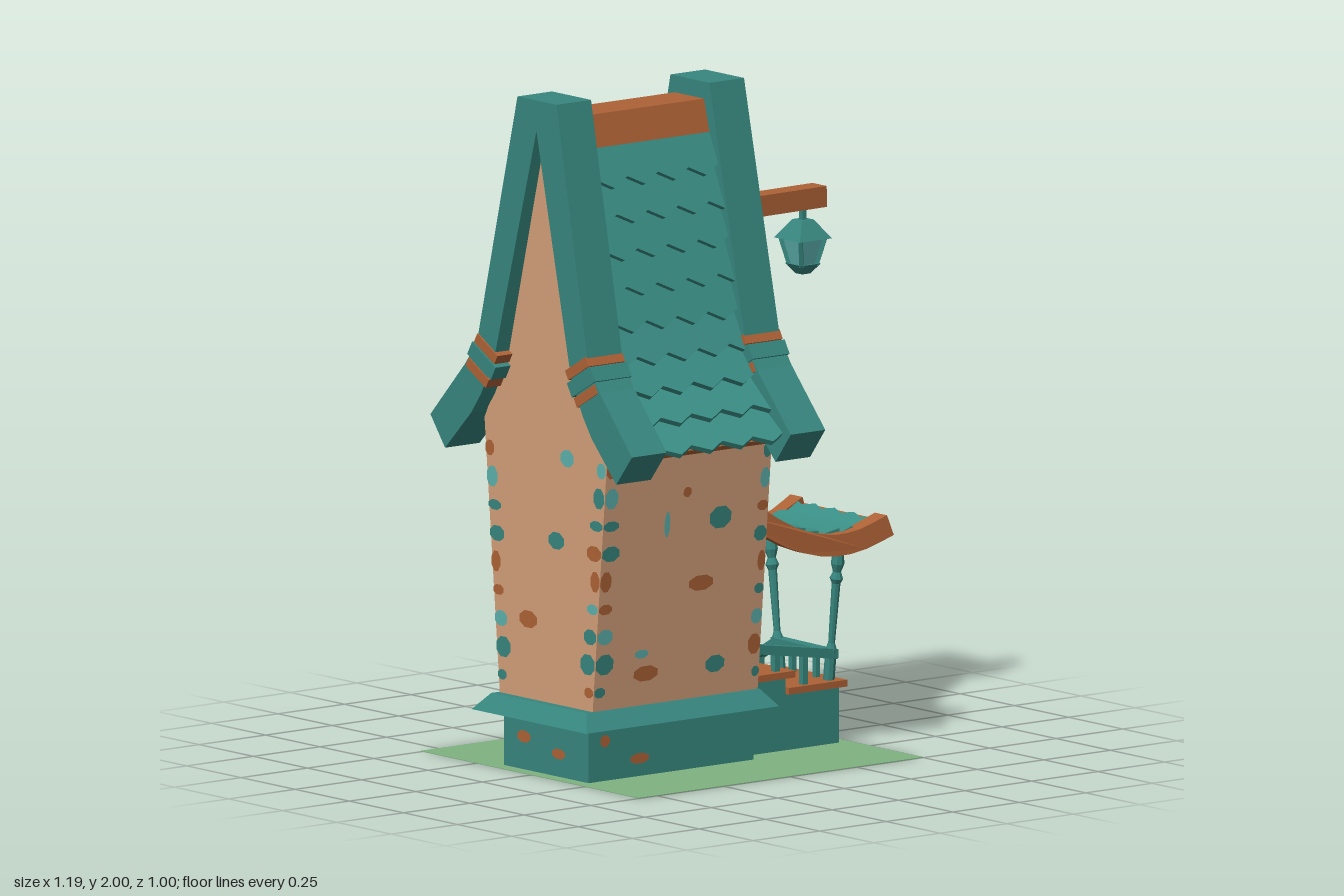
import * as THREE from 'three';

const mat = (name, color) => {
  const m = new THREE.MeshStandardMaterial({ color });
  m.name = name;
  return m;
};
const V = (x, y, z) => new THREE.Vector3(x, y, z);
const P = ([x, y]) => new THREE.Vector2(x, y);
const ZC = 0.025; // house centre line in z

export function createModel() {
  const root = new THREE.Group();
  root.name = 'cottageTower';
  const plaster = mat('plaster', 0xd3a07a), teal = mat('tealTrim', 0x37877f), tile = mat('roofTile', 0x3a8f86);
  const wood = mat('wood', 0xae6236), pale = mat('paleBlue', 0x5cb2ae), grass = mat('grass', 0x7fb380);

  const add = (name, geo, m, parent = root) => {
    const mesh = new THREE.Mesh(geo, m);
    mesh.name = name;
    parent.add(mesh);
    return mesh;
  };
  const group = (name, parent = root) => {
    const g = new THREE.Group();
    g.name = name;
    parent.add(g);
    return g;
  };
  const flat = (geo) => {
    const g = geo.index ? geo.toNonIndexed() : geo;
    g.computeVertexNormals();
    return g;
  };
  // box given by its limits
  const box = (name, x0, x1, y0, y1, z0, z1, m, parent) => add(name,
    new THREE.BoxGeometry(x1 - x0, y1 - y0, z1 - z0).translate((x0 + x1) / 2, (y0 + y1) / 2, (z0 + z1) / 2), m, parent);
  // box whose top has another size than its bottom
  const frustum = (name, w0, d0, w1, d1, y0, y1, cx, cz, m, parent) => {
    const g = new THREE.BoxGeometry(1, y1 - y0, 1), p = g.attributes.position;
    for (let i = 0; i < p.count; i++) {
      const up = p.getY(i) > 0;
      p.setX(i, p.getX(i) * (up ? w1 : w0));
      p.setZ(i, p.getZ(i) * (up ? d1 : d0));
    }
    return add(name, flat(g).translate(cx, (y0 + y1) / 2, cz), m, parent);
  };
  // square bar between two points
  const bar = (name, a, b, w, h, m, parent = root) => {
    const mesh = new THREE.Mesh(new THREE.BoxGeometry(w, h, a.distanceTo(b)), m);
    mesh.name = name;
    mesh.position.copy(a).lerp(b, 0.5);
    mesh.lookAt(b);
    parent.add(mesh);
    return mesh;
  };
  // side profile (offset from centre line, y) extruded along x
  const profileX = (pts, x0, x1, hole) => {
    const s = new THREE.Shape(pts.map(P));
    if (hole) s.holes.push(new THREE.Path(hole.map(P)));
    return new THREE.ExtrudeGeometry(s, { depth: x1 - x0, bevelEnabled: false }).rotateY(-Math.PI / 2).translate(x1, 0, ZC);
  };
  const mirrored = (half) => [...half, ...half.map(([d, y]) => [-d, y]).reverse()];
  // band of constant thickness along a curve
  const ribbon = (curve, t, depth) => {
    const top = [], low = [];
    for (let i = 0; i <= 10; i++) {
      const p = curve.getPoint(i / 10), d = curve.getTangent(i / 10);
      top.push(P([p.x - d.y * t, p.y + d.x * t]));
      low.unshift(P([p.x + d.y * t, p.y - d.x * t]));
    }
    return new THREE.ExtrudeGeometry(new THREE.Shape([...top, ...low]), { depth, bevelEnabled: false }).translate(0, 0, -depth / 2);
  };
  // overlapping rows of zigzag tiles down a curve (outward z, y)
  const tiles = (curve, rows, teeth, amp, lift, widthAt, parent) => {
    for (let i = 0; i < rows; i++) {
      const a = curve.getPointAt(i / rows), b = curve.getPointAt((i + 1) / rows), t = curve.getTangentAt((i + 1) / rows);
      b.add(P([-t.y * lift, t.x * lift]));
      const len = a.distanceTo(b), w = widthAt((i + 0.7) / rows), s = new THREE.Shape();
      s.moveTo(-w / 2, 0);
      for (let k = 0; k <= 2 * teeth; k++) s.lineTo(-w / 2 + (k * w) / (2 * teeth), -len - ((k + i) % 2 ? amp : 0));
      s.lineTo(w / 2, 0);
      const X = V(1, 0, 0), Y = V(0, a.y - b.y, a.x - b.x).normalize();
      const m4 = new THREE.Matrix4().makeBasis(X, Y, X.clone().cross(Y)).setPosition(0, a.y, a.x);
      add('tileRow', new THREE.ExtrudeGeometry(s, { depth: 0.016, bevelEnabled: false }).applyMatrix4(m4), tile, parent);
    }
  };

  // ground, plinth and walls
  box('ground', -0.57, 0.5, 0, 0.002, -0.505, 0.5, grass);
  box('plinth', -0.53, 0.09, 0.002, 0.17, -0.17, 0.22, teal);
  frustum('plinthSkirt', 0.725, 0.53, 0.65, 0.44, 0.165, 0.215, -0.2325, ZC, teal);
  add('walls', profileX(mirrored([[0.213, 0.2], [0.285, 1.02], [0.22, 1.15], [0.02, 1.92]]), -0.53, 0.09), plaster);

  // curved gable beams with straps
  const rake = [...mirrored([[0.395, 0.92], [0.465, 1.01], [0.31, 1.18], [0.257, 1.25], [0.09, 2]]),
    [-0.278, 1.04], [-0.235, 1.1], [-0.177, 1.21], [0, 1.91], [0.177, 1.21], [0.235, 1.1], [0.278, 1.04]];
  for (const [x0, x1, lean] of [[0.01, 0.14, 0], [-0.565, -0.435, 0.022]]) {
    const g = group('gableBeam');
    const geo = profileX(rake, x0, x1), p = geo.attributes.position;
    for (let i = 0; i < p.count; i++) p.setX(i, p.getX(i) - (2 - p.getY(i)) * lean);
    add('rakeBeam', geo, teal, g);
    const cx = (x0 + x1) / 2 - 0.8 * lean;
    for (const s of [1, -1]) {
      for (const [d, y, t, w, m] of [[0.21, 1.238, 0.03, 0.108, wood], [0.23, 1.2, 0.045, 0.125, teal], [0.25, 1.162, 0.03, 0.108, wood]]) {
        const b = add('strap', new THREE.BoxGeometry(0.138, t, w), m, g);
        b.position.set(cx, y, ZC + s * d);
        b.rotation.x = -s * 0.52;
      }
    }
  }

  // main roof
  const slope = new THREE.SplineCurve([[0.095, 1.86], [0.16, 1.57], [0.225, 1.28], [0.3, 1.13], [0.425, 0.985]].map(P));
  for (const s of [0, 1]) {
    const g = group('roofSlope');
    g.position.x = -0.215;
    g.rotation.y = s * Math.PI;
    add('roofDeck', ribbon(slope, 0.012, 0.44).rotateY(-Math.PI / 2), wood, g);
    tiles(slope, 9, 4, 0.03, 0.022, () => 0.46, g);
  }
  frustum('ridgeCap', 0.46, 0.195, 0.46, 0.135, 1.835, 1.95, -0.215, 0.0225, wood);

  // beam ends, lantern arm and lantern on the gable
  for (const [z, y] of [[0.025, 1.88], [0.13, 1.38], [-0.085, 1.38], [0.18, 1.17], [-0.13, 1.17]]) {
    box('beamEnd', 0.08, 0.165, y - 0.022, y + 0.022, z - 0.022, z + 0.022, wood);
  }
  bar('lanternArm', V(0.08, 1.597, 0.022), V(0.5, 1.6, 0.022), 0.066, 0.062, wood);
  bar('lanternBrace', V(0.09, 1.44, 0.022), V(0.25, 1.59, 0.022), 0.04, 0.04, wood);
  const lantern = group('lantern');
  lantern.position.set(0.437, 0, 0.022);
  box('hanger', -0.008, 0.008, 1.52, 1.58, -0.008, 0.008, teal, lantern);
  frustum('lanternCap', 0.12, 0.12, 0.045, 0.045, 1.48, 1.535, 0, 0, teal, lantern);
  frustum('lanternGlass', 0.055, 0.055, 0.09, 0.09, 1.4, 1.48, 0, 0, pale, lantern);
  frustum('lanternFoot', 0.03, 0.03, 0.075, 0.075, 1.375, 1.405, 0, 0, teal, lantern);
  for (const x of [-1, 1]) for (const z of [-1, 1]) {
    bar('lanternRib', V(x * 0.028, 1.4, z * 0.028), V(x * 0.046, 1.48, z * 0.046), 0.012, 0.012, teal, lantern);
  }

  // gable window and door
  add('windowFrame', profileX([[-0.045, 0.955], [0.045, 0.955], [0.058, 1.19], [-0.058, 1.19]], 0.085, 0.115,
    [[-0.026, 0.985], [0.026, 0.985], [0.034, 1.125], [-0.034, 1.125]]), teal);
  box('windowGlass', 0.09, 0.097, 0.98, 1.13, ZC - 0.036, ZC + 0.036, pale);
  box('windowLintel', 0.1, 0.125, 1.13, 1.15, ZC - 0.04, ZC + 0.04, teal);
  add('doorFrame', profileX([[-0.085, 0.23], [0.085, 0.23], [0.112, 0.58], [-0.112, 0.58]], 0.085, 0.122,
    [[-0.06, 0.24], [0.06, 0.24], [0.078, 0.54], [-0.078, 0.54]]), teal);
  box('door', 0.09, 0.102, 0.24, 0.55, ZC - 0.08, ZC + 0.08, tile);
  add('doorGlass', profileX(mirrored([[0.013, 0.43], [0.027, 0.455], [0.027, 0.495], [0.013, 0.52]]), 0.1, 0.107), pale);

  // porch floor, steps and railings
  const porch = group('porch');
  box('porchBase', 0.05, 0.46, 0.002, 0.17, -0.1, 0.16, teal, porch);
  box('upperBase', 0.05, 0.26, 0.17, 0.218, -0.1, 0.16, teal, porch);
  box('upperLanding', 0.08, 0.28, 0.218, 0.238, -0.125, 0.18, wood, porch);
  box('lowerLanding', 0.26, 0.48, 0.168, 0.188, -0.13, 0.175, wood, porch);
  [[0.12, -0.1, -0.2], [0.058, -0.2, -0.3]].forEach(([y, z0, z1]) => {
    box('stepBase', 0.27, 0.46, 0.002, y, z1, z0, teal, porch);
    box('stepTread', 0.25, 0.48, y, y + 0.018, z1 - 0.012, z0 + 0.02, wood, porch);
  });
  bar('frontRail', V(0.09, 0.322, 0.15), V(0.455, 0.265, 0.15), 0.026, 0.028, teal, porch);
  for (const x of [0.13, 0.23, 0.335]) bar('baluster', V(x, 0.18, 0.15), V(x, 0.328 - x * 0.156, 0.15), 0.018, 0.018, teal, porch);
  bar('sideRail', V(0.44, 0.265, 0.16), V(0.44, 0.268, -0.11), 0.036, 0.026, teal, porch);
  bar('stairRail', V(0.44, 0.272, -0.09), V(0.44, 0.105, -0.385), 0.036, 0.024, teal, porch);
  for (const z of [0.08, 0.025, -0.03]) bar('baluster', V(0.44, 0.18, z), V(0.44, 0.262, z), 0.016, 0.016, teal, porch);
  for (const [z, y] of [[-0.11, 0.13], [-0.18, 0.13], [-0.255, 0.07], [-0.36, 0.005]]) {
    bar('stairBaluster', V(0.44, y, z), V(0.44, 0.272 + (z + 0.09) * 0.566, z), 0.018, 0.018, teal, porch);
  }
  const turned = [[0.001, 0], [0.017, 0], [0.017, 0.1], [0.01, 0.12], [0.013, 0.3], [0.02, 0.315], [0.012, 0.335], [0.02, 0.36], [0.014, 0.42], [0.001, 0.42]];
  for (const s of [1, -1]) {
    const post = add('porchPost', flat(new THREE.LatheGeometry(turned.map(P), 8)), teal, porch);
    post.position.set(0.44, 0.18, ZC + s * 0.112);
    post.rotation.x = s * 0.115;
  }

  // swooping porch roof between two flared beams
  const swoop = new THREE.SplineCurve([[0.085, 0.75], [0.23, 0.65], [0.36, 0.603], [0.47, 0.605], [0.58, 0.645]].map(P));
  const halfWidth = (x) => 0.122 + (x - 0.14) * 0.17;
  const warp = (geo, f) => {
    const p = geo.attributes.position;
    for (let i = 0; i < p.count; i++) p.setZ(i, f(p.getX(i), p.getZ(i)));
    return flat(geo);
  };
  for (const s of [1, -1]) {
    add('porchRoofBeam', warp(ribbon(swoop, 0.032, 1), (x, z) => ZC + s * halfWidth(x) + z * (0.035 + Math.max(0, x - 0.3) * 0.08)), wood, porch);
  }
  const cover = new THREE.SplineCurve([[0.1, 0.755], [0.23, 0.66], [0.36, 0.615], [0.47, 0.616], [0.55, 0.635]].map(P));
  add('porchRoofDeck', warp(ribbon(swoop, 0.012, 1), (x, z) => ZC + z * 2 * halfWidth(x)), wood, porch);
  const coverTiles = group('porchTiles', porch);
  coverTiles.rotation.y = Math.PI / 2;
  coverTiles.position.z = ZC;
  tiles(cover, 8, 4, 0.016, 0.012, (u) => 2 * halfWidth(0.1 + u * 0.45) - 0.02, coverTiles);
  box('porchWallBeam', 0.09, 0.16, 0.735, 0.78, ZC - 0.13, ZC + 0.13, wood, porch);
  box('porchHeader', 0.42, 0.46, 0.575, 0.605, ZC - 0.18, ZC + 0.18, wood, porch);

  // wall faces: local z points outward from the centre line
  const front = group('frontDetails'), back = group('backDetails'), right = group('doorSideDetails'), left = group('plainSideDetails');
  front.position.z = back.position.z = ZC;
  back.rotation.y = Math.PI;
  right.position.set(0.09, 0, ZC);
  right.rotation.y = Math.PI / 2;
  left.position.set(-0.53, 0, ZC);
  left.rotation.y = -Math.PI / 2;
  const depthAt = (y) => 0.213 + (y - 0.2) * 0.0878;
  const stone = (face, a, y, w, h, m) => {
    const s = add('stone', new THREE.CircleGeometry(0.54, 8).rotateZ(Math.PI / 8).scale(w, h, 1), m, face);
    const slanted = (face === front || face === back) && y > 0.2;
    s.position.set(a, y, slanted ? depthAt(y) + 0.003 : face === front || face === back ? 0.198 : 0.003);
    if (slanted) s.rotation.x = 0.0876;
  };
  [[-0.09, 0.75, 0.08, 0.065, teal], [-0.29, 0.75, 0.02, 0.075, pale], [-0.15, 0.56, 0.09, 0.045, wood], [-0.34, 0.31, 0.09, 0.045, wood],
    [-0.22, 0.84, 0.03, 0.03, wood], [-0.36, 0.37, 0.05, 0.025, pale], [-0.08, 0.31, 0.07, 0.05, teal],
    [-0.34, 0.055, 0.07, 0.03, wood], [-0.47, 0.12, 0.035, 0.035, wood]].forEach((s) => stone(front, ...s));
  [[0.02, 0.47, 0.08, 0.05, wood], [0.4, 0.6, 0.07, 0.05, teal], [0.1, 0.38, 0.06, 0.04, pale], [0.42, 0.88, 0.06, 0.05, teal],
    [0.44, 0.1, 0.06, 0.03, wood], [0.25, 0.07, 0.06, 0.03, pale]].forEach((s) => stone(back, ...s));
  [[-0.05, 0.83, 0.07, 0.05, wood], [0.07, 0.83, 0.06, 0.05, wood], [0, 1.25, 0.045, 0.055, pale], [-0.17, 0.82, 0.04, 0.04, wood],
    [0.16, 0.89, 0.06, 0.04, teal], [-0.16, 0.47, 0.06, 0.05, wood]].forEach((s) => stone(right, ...s));
  [[0.05, 0.7, 0.07, 0.05, teal], [-0.08, 0.45, 0.08, 0.05, wood], [0.1, 0.95, 0.06, 0.05, pale], [-0.1, 0.1, 0.06, 0.035, wood],
    [0.06, 0.07, 0.06, 0.03, wood]].forEach((s) => stone(left, ...s));
  // quoins running up the four corners
  const hues = [teal, wood, pale, teal, wood];
  for (let i = 0; i < 9; i++) {
    const y = 0.27 + i * 0.083, w = 0.04 + 0.025 * ((i * 3) % 4) / 3, h = 0.03 + 0.015 * ((i * 2) % 3);
    for (const s of [1, -1]) {
      const m = hues[(i + (s > 0 ? 0 : 2)) % 5], m2 = hues[(i * 2 + (s > 0 ? 1 : 3)) % 5];
      stone(front, s > 0 ? 0.09 - w * 0.4 : -0.53 + w / 2, y, s > 0 ? w * 0.7 : w, h, s > 0 ? m : m2);
      stone(back, s > 0 ? 0.53 - w / 2 : -0.09 + w / 2, y, w, h, s > 0 ? m2 : m);
      stone(right, s * (depthAt(y) - w / 2), y, w, h, m);
      stone(left, s * (depthAt(y) - w / 2), y, w, h, m2);
    }
  }

  // balcony window under the back eave
  const balcony = group('balcony', back);
  balcony.position.x = 0.22;
  box('balconyGlass', -0.08, 0.08, 0.72, 0.95, 0.26, 0.285, pale, balcony);
  for (const s of [1, -1]) {
    box('windowJamb', s * 0.095 - 0.015, s * 0.095 + 0.015, 0.71, 0.96, 0.25, 0.3, teal, balcony);
    box('balconyPost', s * 0.115 - 0.009, s * 0.115 + 0.009, 0.71, 0.98, 0.34, 0.358, teal, balcony);
    bar('balconySideRail', V(s * 0.115, 0.775, 0.25), V(s * 0.115, 0.775, 0.36), 0.018, 0.018, teal, balcony);
    bar('balconyBracket', V(s * 0.08, 0.6, 0.24), V(s * 0.08, 0.68, 0.34), 0.03, 0.03, wood, balcony);
  }
  box('windowHead', -0.12, 0.12, 0.925, 0.955, 0.25, 0.31, wood, balcony);
  box('balconyShelf', -0.14, 0.14, 0.695, 0.718, 0.24, 0.38, wood, balcony);
  box('balconyTray', -0.12, 0.12, 0.665, 0.695, 0.24, 0.34, teal, balcony);
  box('balconyRail', -0.125, 0.125, 0.765, 0.785, 0.338, 0.36, teal, balcony);

  // cellar window
  const cellar = group('cellarWindow', back);
  cellar.position.set(0.16, 0.25, 0);
  box('cellarFrame', -0.065, 0.065, -0.05, 0.05, 0.2, 0.258, wood, cellar);
  box('cellarPane', -0.04, 0.04, -0.025, 0.025, 0.255, 0.262, teal, cellar);
  return root;
}
